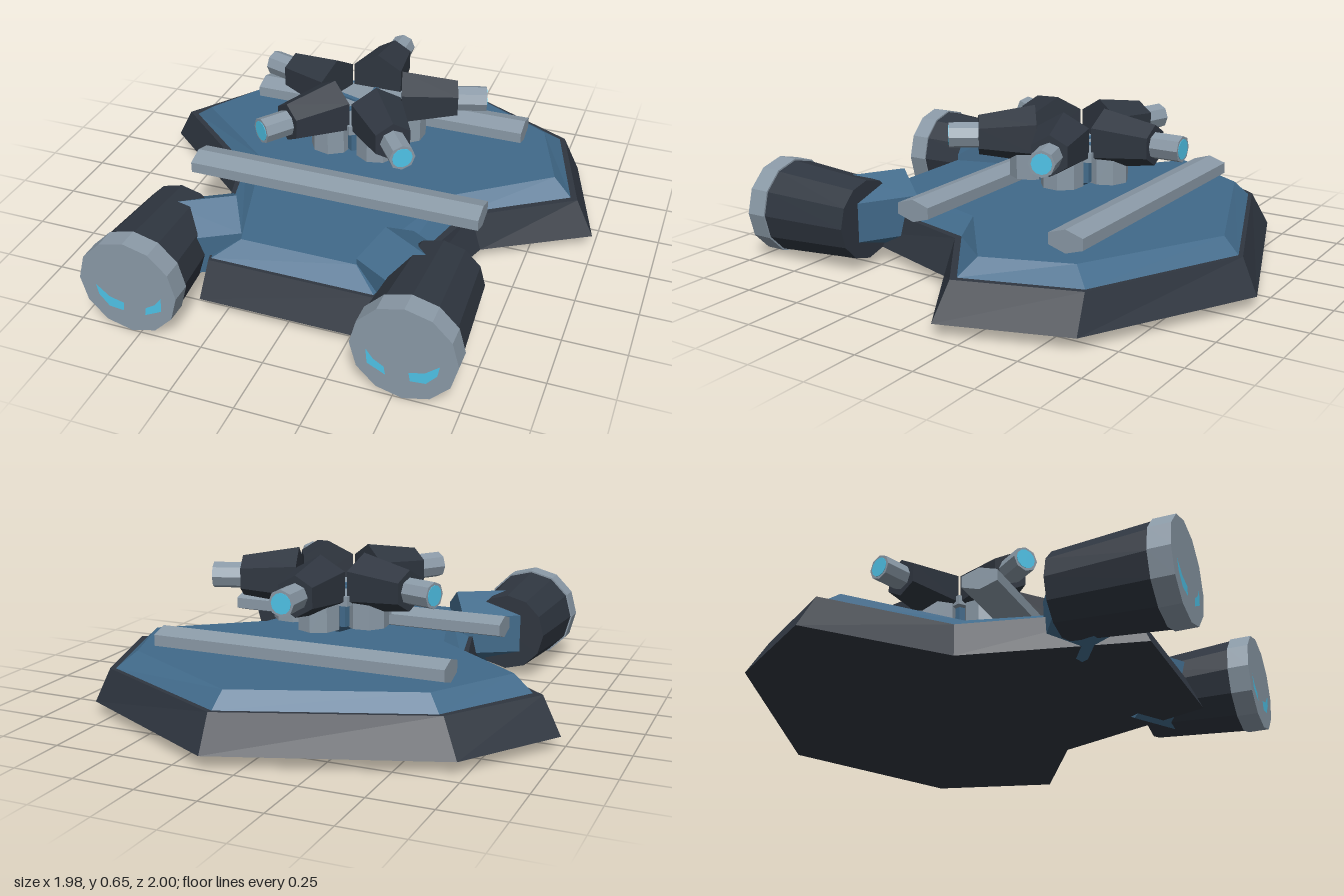
import * as THREE from 'three';

const mat = (color) => new THREE.MeshStandardMaterial({ color, flatShading: true });
const BLUE = mat(0x416a8a), DARK = mat(0x2f3640), GREY = mat(0x8a99a6), GLOW = mat(0x4fc3e8);

function add(parent, name, geometry, material) {
  const mesh = new THREE.Mesh(geometry, material);
  mesh.name = name;
  parent.add(mesh);
  return mesh;
}

// Faceted horizontal beam from a to b, with a corner pointing straight up
function beam(parent, name, a, b, ra, rb, sides, material, squash = 1) {
  const d = new THREE.Vector3(...b).sub(new THREE.Vector3(...a));
  const g = new THREE.CylinderGeometry(rb, ra, d.length(), sides);
  g.rotateX(Math.PI / 2);
  g.scale(1, squash, 1);
  g.rotateY(Math.atan2(d.x, d.z));
  const mesh = add(parent, name, g, material);
  mesh.position.set((a[0] + b[0]) / 2, (a[1] + b[1]) / 2, (a[2] + b[2]) / 2);
  return mesh;
}

// Closed plate between a lower and an upper outline of [x, z] points
function plate(lower, y0, upper, y1) {
  const n = lower.length, pos = [], index = [];
  for (const [x, z] of lower) pos.push(x, y0, z);
  for (const [x, z] of upper) pos.push(x, y1, z);
  for (let i = 0; i < n; i++) {
    const j = (i + 1) % n;
    index.push(j, i, n + i, j, n + i, n + j);
  }
  [lower, upper].forEach((ring, k) => {
    const flat = ring.map(([x, z]) => new THREE.Vector2(x, -z));
    for (const [a, b, c] of THREE.ShapeUtils.triangulateShape(flat, [])) {
      const area = flat[b].clone().sub(flat[a]).cross(flat[c].clone().sub(flat[a]));
      const up = (area > 0) === (k === 1);
      index.push(k * n + a, k * n + (up ? b : c), k * n + (up ? c : b));
    }
  });
  const g = new THREE.BufferGeometry();
  g.setAttribute('position', new THREE.Float32BufferAttribute(pos, 3));
  g.setIndex(index);
  g.computeVertexNormals();
  return g;
}

export function createModel() {
  const model = new THREE.Group();
  model.name = 'hovercraft';

  // Hull: dark lower plate and blue deck, slightly lopsided
  const hullBottom = [[0.14, -1], [0.83, -0.63], [0.99, -0.13], [0.58, 0.12], [0.35, 0.8],
    [-0.35, 0.8], [-0.53, 0.1], [-0.99, -0.29], [-0.72, -0.69]];
  const hullTop = [[0.135, -0.935], [0.76, -0.62], [0.91, -0.155], [0.53, 0.1], [0.335, 0.735],
    [-0.335, 0.735], [-0.5, 0.085], [-0.91, -0.265], [-0.65, -0.64]];
  const deckBottom = [[0.13, -0.915], [0.74, -0.61], [0.88, -0.165], [0.5, 0.09], [0.33, 0.72],
    [-0.33, 0.72], [-0.48, 0.07], [-0.87, -0.26], [-0.63, -0.63]];
  const deckTop = [[0.12, -0.85], [0.68, -0.54], [0.8, -0.2], [0.42, 0.09], [0.235, 0.645],
    [-0.235, 0.645], [-0.4, 0.08], [-0.79, -0.24], [-0.58, -0.585]];
  add(model, 'hull', plate(hullBottom, 0.055, hullTop, 0.2), DARK);
  add(model, 'deck', plate(deckBottom, 0.2, deckTop, 0.262), BLUE);

  // Flattened cross bars on the deck
  for (const z of [0.24, -0.45]) {
    beam(model, 'crossBar', [-0.61, 0.308, z], [0.61, 0.308, z], 0.084, 0.084, 6, GREY, 0.54);
  }

  // Engine pods with their mounting arms
  for (const s of [-1, 1]) {
    const pod = new THREE.Group();
    pod.name = s > 0 ? 'leftEngine' : 'rightEngine';
    model.add(pod);
    const x = 0.537 * s, y = 0.205;
    beam(pod, 'engineArm', [s * 0.54, y, 0.66], [s * 0.307, y, 0.52], 0.163, 0.163, 6, BLUE);
    beam(pod, 'engineBody', [x, y, 0.53], [x, y, 0.915], 0.165, 0.193, 12, DARK);
    beam(pod, 'engineNozzle', [x, y, 0.915], [x, y, 1], 0.2, 0.2, 12, GREY);
    // Small glowing slits on the nozzle face
    const slits = [
      [[-0.133, -0.016], [-0.125, -0.06], [-0.085, -0.106], [-0.027, -0.112], [-0.021, -0.075], [-0.08, -0.06]],
      [[0.07, -0.075], [0.064, -0.11], [0.133, -0.075], [0.138, -0.012], [0.11, -0.05]],
    ];
    for (const slit of slits) {
      const shape = new THREE.Shape(slit.map(([u, v]) => new THREE.Vector2(-s * u, v)));
      add(pod, 'engineGlow', new THREE.ShapeGeometry(shape), GLOW).position.set(x, y, 1.0005);
    }
  }

  // Turret: five radial guns around a pentagonal hub
  const turret = new THREE.Group();
  turret.name = 'turret';
  turret.position.z = -0.11;
  model.add(turret);

  const core = [[0, 0.325], [0.07, 0.325], [0.17, 0.37], [0.17, 0.48], [0, 0.49]]
    .map(([r, h]) => new THREE.Vector2(r, h));
  add(turret, 'core', new THREE.LatheGeometry(core, 5), BLUE);
  add(turret, 'hubPlate', new THREE.CylinderGeometry(0.2, 0.2, 0.04, 5), GREY).position.y = 0.48;

  const axisY = 0.537;
  for (let i = 0; i < 5; i++) {
    const gun = new THREE.Group();
    gun.name = 'gun';
    gun.rotation.y = Math.PI + (i * Math.PI * 2) / 5;
    turret.add(gun);
    add(gun, 'column', new THREE.CylinderGeometry(0.087, 0.087, 0.13, 8), GREY).position.set(0, 0.43, 0.167);
    beam(gun, 'gunBody', [0, axisY, 0.15], [0, axisY, 0.38], 0.12, 0.082, 6, DARK);
    beam(gun, 'barrel', [0, axisY, 0.36], [0, axisY, 0.5], 0.053, 0.053, 8, GREY);
    beam(gun, 'muzzleGlow', [0, axisY, 0.49], [0, axisY, 0.502], 0.041, 0.041, 12, GLOW);
    add(gun, 'hubSpoke', new THREE.BoxGeometry(0.02, 0.01, 0.14), BLUE).position.set(0, 0.503, 0.07);
  }
  return model;
}
